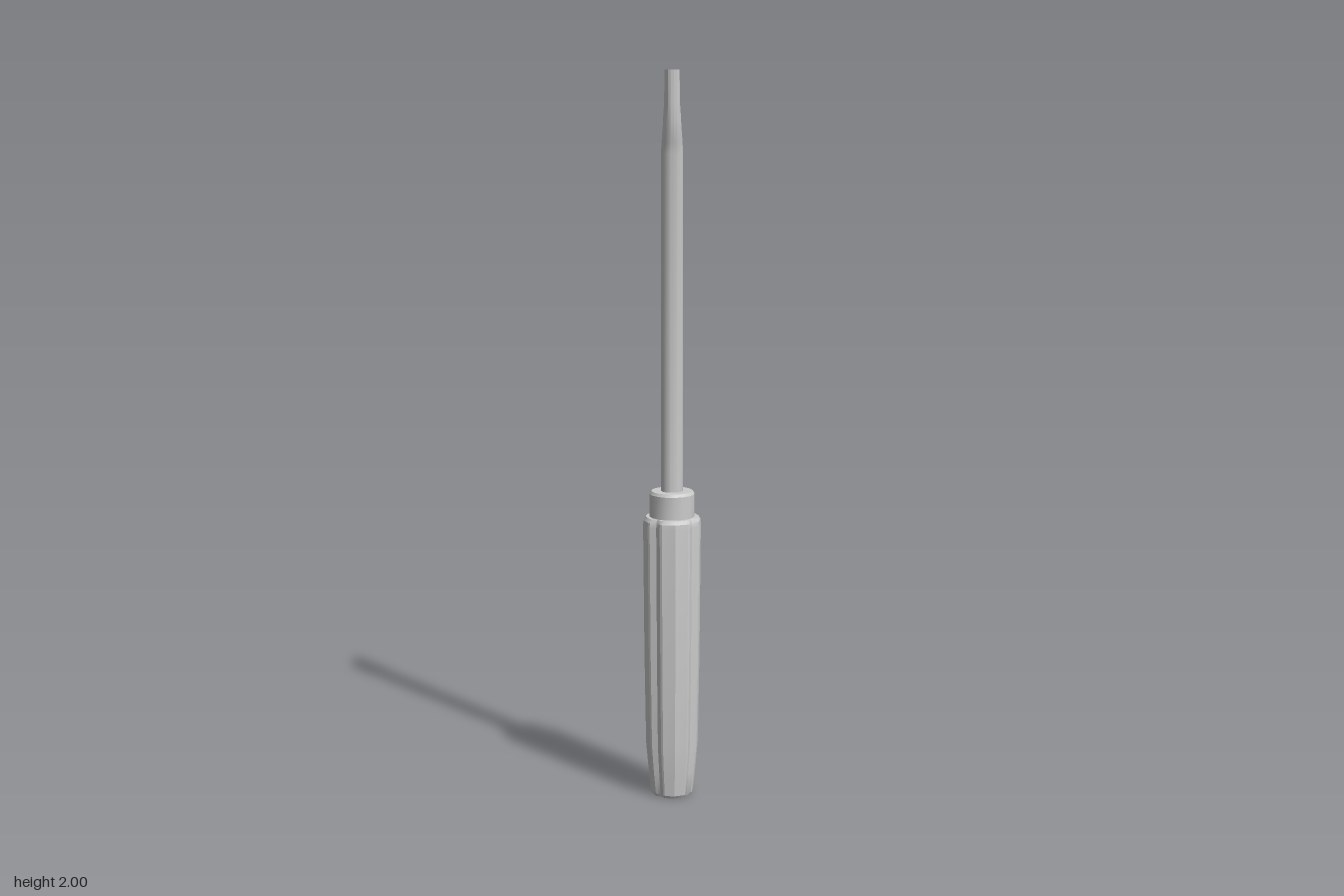
import * as THREE from 'three';
import { toCreasedNormals } from 'three/addons/utils/BufferGeometryUtils.js';

const material = new THREE.MeshStandardMaterial({ color: 0xcccccc });

// Skin a stack of equal-length rings of [x, z] points, closing both ends.
function loft(name, sections, crease) {
  const n = sections[0].ring.length;
  const pos = [];
  const index = [];
  for (const { y, ring } of sections) for (const [x, z] of ring) pos.push(x, y, z);
  for (let i = 0; i < sections.length - 1; i++) {
    for (let j = 0; j < n; j++) {
      const a = i * n + j, b = i * n + (j + 1) % n;
      index.push(a, a + n, b, b, a + n, b + n);
    }
  }
  const last = (sections.length - 1) * n;
  const bottom = pos.length / 3;
  pos.push(0, sections[0].y, 0, 0, sections[sections.length - 1].y, 0);
  for (let j = 0; j < n; j++) {
    const k = (j + 1) % n;
    index.push(bottom, j, k, bottom + 1, last + k, last + j);
  }
  const geometry = new THREE.BufferGeometry();
  geometry.setAttribute('position', new THREE.Float32BufferAttribute(pos, 3));
  geometry.setIndex(index);
  const mesh = new THREE.Mesh(toCreasedNormals(geometry, crease), material);
  mesh.name = name;
  return mesh;
}

// Four-lobed grip outline with grooves on the diagonals; unit radius.
function gripRing(r) {
  const quarter = [[1, 0], [0.89, 0.45], [0.83, 0.52], [0.615, 0.615], [0.52, 0.83], [0.45, 0.89]];
  const ring = [];
  for (let q = 0; q < 4; q++) {
    const c = Math.round(Math.cos(q * Math.PI / 2)), s = Math.round(Math.sin(q * Math.PI / 2));
    for (const [x, z] of quarter) ring.push([(x * c - z * s) * r, (x * s + z * c) * r]);
  }
  return ring;
}

// Ellipse with its sides cut flat at x = +-flat.
function flatRing(rx, rz, flat, n = 24) {
  return Array.from({ length: n }, (_, i) => {
    const a = i / n * Math.PI * 2;
    return [THREE.MathUtils.clamp(Math.cos(a) * rx, -flat, flat), Math.sin(a) * rz];
  });
}

export function createModel() {
  const group = new THREE.Group();
  group.name = 'screwdriver';

  // Fluted handle, tapered towards the butt
  const grip = [[0, 0.054], [0.008, 0.059], [0.07, 0.066], [0.15, 0.073], [0.4, 0.077],
    [0.77, 0.08], [0.785, 0.079], [0.795, 0.073]];
  group.add(loft('handle', grip.map(([y, r]) => ({ y, ring: gripRing(r) })), 0.42));

  // Collar with a small bevel at the top
  const collar = [[0.78, 0.062], [0.858, 0.062], [0.866, 0.057]];
  group.add(loft('collar', collar.map(([y, r]) => ({ y, ring: flatRing(r, r, r, 16) })), 0.45));

  // Round shaft running into the flared flat blade
  const shaft = [[0.85, 0.03, 0.03, 0.03], [1.78, 0.03, 0.03, 0.03], [1.81, 0.03, 0.037, 0.027],
    [1.84, 0.03, 0.043, 0.0235], [1.87, 0.03, 0.046, 0.0205], [1.91, 0.03, 0.047, 0.0175],
    [2, 0.03, 0.047, 0.016]];
  group.add(loft('shaftAndBlade', shaft.map(([y, rx, rz, f]) => ({ y, ring: flatRing(rx, rz, f) })), 0.5));

  return group;
}
